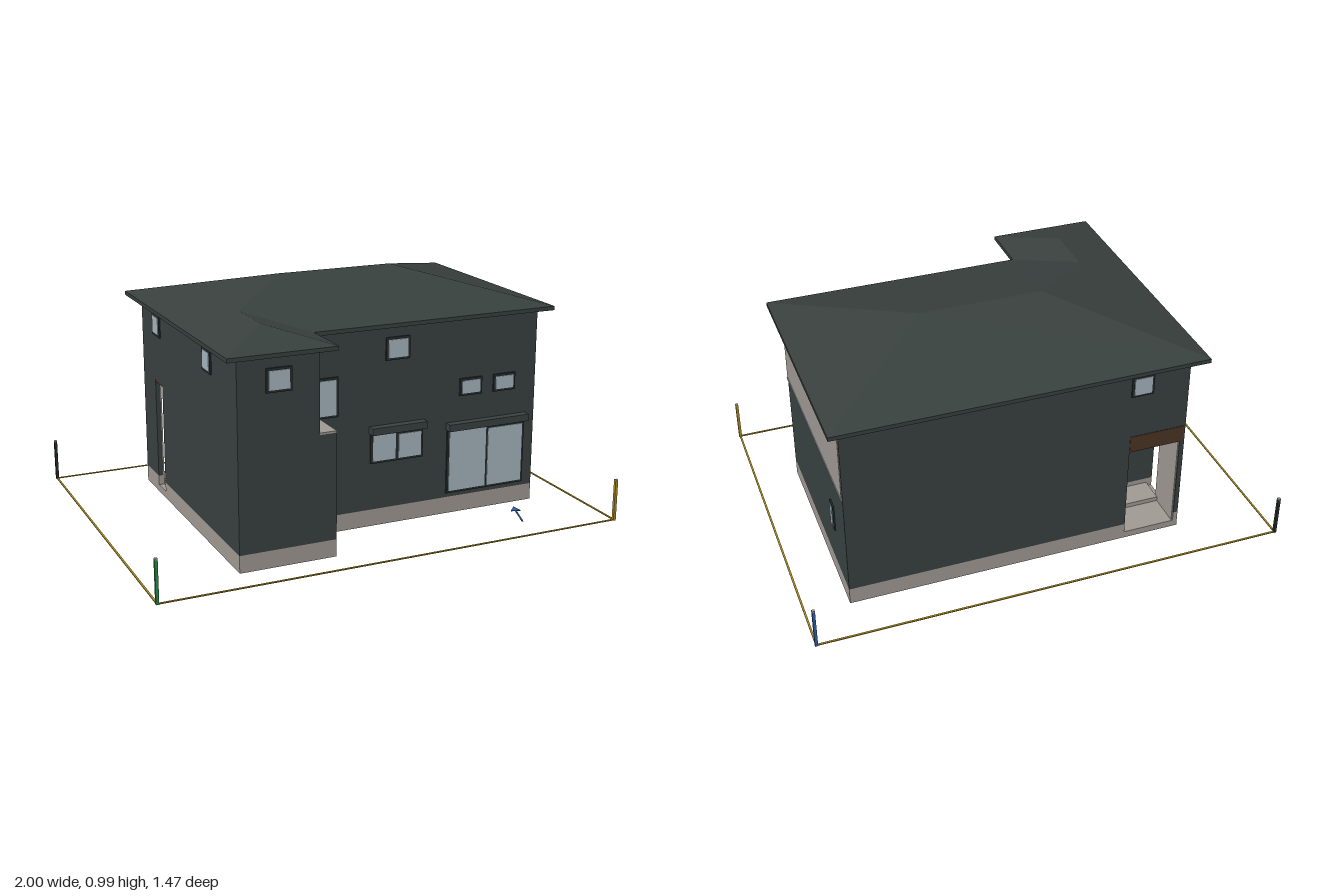
import * as THREE from 'three';

const mat = (name, color, side = THREE.FrontSide) => {
  const m = new THREE.MeshStandardMaterial({ color, side });
  m.name = name;
  return m;
};

export function createModel() {
  const house = new THREE.Group();
  house.name = 'house';
  const wall = mat('dark wall', 0x394141);
  const roofMat = mat('roof slate', 0x38403e);
  const beige = mat('beige render', 0xa09a93);
  const glass = mat('window glass', 0xa6b5bf);
  const brown = mat('brown timber', 0x4a3424);
  const soil = mat('floor underside', 0x2b1d15);
  const green = mat('green', 0x2c8a46);
  const yellow = mat('mustard', 0xa88a22);
  const blue = mat('blue', 0x2f5fa8);
  const black = mat('black', 0x262b2b);

  const add = (name, geo, material, parent = house) => {
    const m = new THREE.Mesh(geo, material);
    m.name = name;
    parent.add(m);
    return m;
  };
  // Box given by its lower and upper limits
  const box = (name, material, [x0, x1], [y0, y1], [z0, z1], parent) => {
    const m = add(name, new THREE.BoxGeometry(x1 - x0, y1 - y0, z1 - z0), material, parent);
    m.position.set((x0 + x1) / 2, (y0 + y1) / 2, (z0 + z1) / 2);
    return m;
  };
  // Plan outline in x, z raised from y0 to y1
  const toShape = (pts) => new THREE.Shape(pts.map(([x, z]) => new THREE.Vector2(x, -z)));
  const slab = (name, material, pts, y0, y1, hole) => {
    const s = toShape(pts);
    if (hole) s.holes.push(toShape(hole));
    const g = new THREE.ExtrudeGeometry(s, { depth: y1 - y0, bevelEnabled: false });
    g.rotateX(-Math.PI / 2).translate(0, y0, 0);
    return add(name, g, material);
  };

  // Plans: lower storey has a porch cut into the back corner
  const lower = [[-0.38, -0.545], [0.81, -0.545], [0.81, 0.37], [-0.22, 0.37],
    [-0.22, 0.6], [-0.625, 0.6], [-0.625, -0.29], [-0.38, -0.29]];
  const lowerInner = [[-0.35, -0.515], [0.78, -0.515], [0.78, 0.34], [-0.25, 0.34],
    [-0.25, 0.57], [-0.595, 0.57], [-0.595, -0.26], [-0.35, -0.26]];
  const upper = [[-0.625, -0.545], [0.81, -0.545], [0.81, 0.37], [-0.29, 0.37],
    [-0.29, 0.6], [-0.625, 0.6]];
  slab('plinth', beige, lower, 0, 0.072, lowerInner);
  slab('floorUnderside', soil, lowerInner, 0.06, 0.072);
  slab('lowerWalls', wall, lower, 0.072, 0.512);
  slab('upperWalls', wall, upper, 0.512, 0.85);
  box('wingLedge', beige, [-0.29, -0.22], [0.508, 0.516], [0.37, 0.6]);

  // Corner porch
  box('porchFloor', beige, [-0.625, -0.38], [0, 0.03], [-0.545, -0.29]);
  box('porchStep', beige, [-0.6, -0.38], [0.03, 0.05], [-0.4, -0.29]);
  box('porchPillarBase', beige, [-0.625, -0.605], [0, 0.072], [-0.545, -0.383]);
  box('porchPillar', wall, [-0.625, -0.605], [0.072, 0.512], [-0.545, -0.383]);
  box('porchPillarLining', beige, [-0.605, -0.6], [0.03, 0.505], [-0.54, -0.383]);
  box('porchBeam', brown, [-0.615, -0.38], [0.445, 0.52], [-0.547, -0.53]);
  box('porchCeiling', brown, [-0.624, -0.38], [0.502, 0.512], [-0.545, -0.29]);

  // Beige upper cladding on the left side
  box('sideCladding', beige, [0.808, 0.813], [0.518, 0.85], [-0.538, 0.362]);
  box('sideTrim', glass, [0.808, 0.816], [0.51, 0.518], [-0.538, 0.362]);

  // Hipped roof with the wing's hip joined along a valley
  const e = 0.862, r = 0.992, w = 0.921;
  const P = {
    A: [-0.68, e, -0.605], B: [0.86, e, -0.605], C: [0.86, e, 0.42], D: [-0.235, e, 0.42],
    E: [-0.235, e, 0.65], F: [-0.68, e, 0.65], R: [-0.1675, r, -0.0925], S: [0.3475, r, -0.0925],
    V: [-0.4575, w, 0.1975], W: [-0.4575, w, 0.4275],
  };
  const triangles = ['ARS', 'ASB', 'BSC', 'CSR', 'CRD', 'DRV', 'DVW', 'DWE', 'EWF',
    'FWV', 'FVA', 'AVR'];
  const pos = triangles.flatMap((t) => {
    const [a, b, c] = [...t].map((k) => new THREE.Vector3(...P[k]));
    const up = b.clone().sub(a).cross(c.clone().sub(a)).y > 0;
    return (up ? [a, b, c] : [a, c, b]).flatMap((v) => v.toArray());
  });
  const roof = new THREE.BufferGeometry();
  roof.setAttribute('position', new THREE.Float32BufferAttribute(pos, 3));
  roof.computeVertexNormals();
  add('roof', roof, roofMat);
  slab('eaves', roofMat, ['A', 'B', 'C', 'D', 'E', 'F'].map((k) => [P[k][0], P[k][2]]), 0.845, e);

  // Windows: built facing +z, then turned onto the wall
  const facing = { front: 0, left: Math.PI / 2, back: Math.PI, right: -Math.PI / 2 };
  const windowAt = (side, x, z, y0, y1, panes, hood) => {
    const g = new THREE.Group();
    g.name = side + 'Window';
    g.position.set(x, 0, z);
    g.rotation.y = facing[side];
    house.add(g);
    const u0 = panes[0][0] - 0.01, u1 = panes[panes.length - 1][1] + 0.01;
    box('frame', black, [u0, u1], [y0 - 0.01, y1 + 0.01], [-0.002, 0.006], g);
    panes.forEach(([a, b], i) =>
      box('pane', glass, [a, b], [y0, y1 - i * 0.008], [0.004, 0.009], g));
    if (hood) box('hood', wall, [u0 - 0.005, u1 + 0.005], [y1 + 0.008, y1 + 0.038], [0, 0.035], g);
  };
  const single = (width) => [[-width / 2, width / 2]];
  windowAt('front', -0.458, 0.6, 0.71, 0.785, single(0.085));
  windowAt('front', -0.165, 0.37, 0.502, 0.648, single(0.09));
  windowAt('front', 0.155, 0.37, 0.71, 0.785, single(0.088));
  windowAt('front', 0.497, 0.37, 0.52, 0.575, single(0.085));
  windowAt('front', 0.657, 0.37, 0.52, 0.575, single(0.085));
  windowAt('front', 0, 0.37, 0.282, 0.393, [[0.045, 0.148], [0.162, 0.265]], true);
  windowAt('front', 0, 0.37, 0.1, 0.362, [[0.4, 0.575], [0.585, 0.752]], true);
  windowAt('left', -0.22, 0.475, 0.255, 0.355, single(0.07));
  windowAt('left', 0.81, -0.353, 0.255, 0.355, single(0.032));
  windowAt('back', -0.42, -0.545, 0.725, 0.8, single(0.075));
  windowAt('right', -0.625, -0.34, 0.725, 0.8, single(0.075));
  windowAt('right', -0.625, 0.287, 0.725, 0.8, single(0.075));

  // Plot boundary: corner posts and ground strips
  const bx = 0.994, bz = 0.73;
  [[-bx, bz, green], [bx, bz, yellow], [bx, -bz, blue], [-bx, -bz, black]].forEach(([x, z, m]) => {
    box('boundaryPost', m, [x - 0.006, x + 0.006], [0, 0.174], [z - 0.006, z + 0.006]);
    box('postCap', beige, [x - 0.006, x + 0.006], [0.174, 0.18], [z - 0.006, z + 0.006]);
  });
  for (const s of [-1, 1]) {
    box('boundaryStrip', yellow, [-bx, bx], [0, 0.004], [s * bz - 0.004, s * bz + 0.004]);
    box('boundaryStrip', yellow, [s * bx - 0.004, s * bx + 0.004], [0, 0.004], [-bz, bz]);
  }

  // Entrance arrow lying on the ground
  const tail = new THREE.Vector2(0.637, 0.59), tip = new THREE.Vector2(0.69, 0.432);
  const d = tip.clone().sub(tail);
  const len = d.length();
  d.normalize();
  const at = (along, across) => [tail.x + d.x * along - d.y * across, tail.y + d.y * along + d.x * across];
  slab('entranceArrow', blue, [at(0, -0.003), at(len - 0.045, -0.003), at(len - 0.045, -0.02),
    at(len, 0), at(len - 0.045, 0.02), at(len - 0.045, 0.003), at(0, 0.003)], 0, 0.004);
  return house;
}
